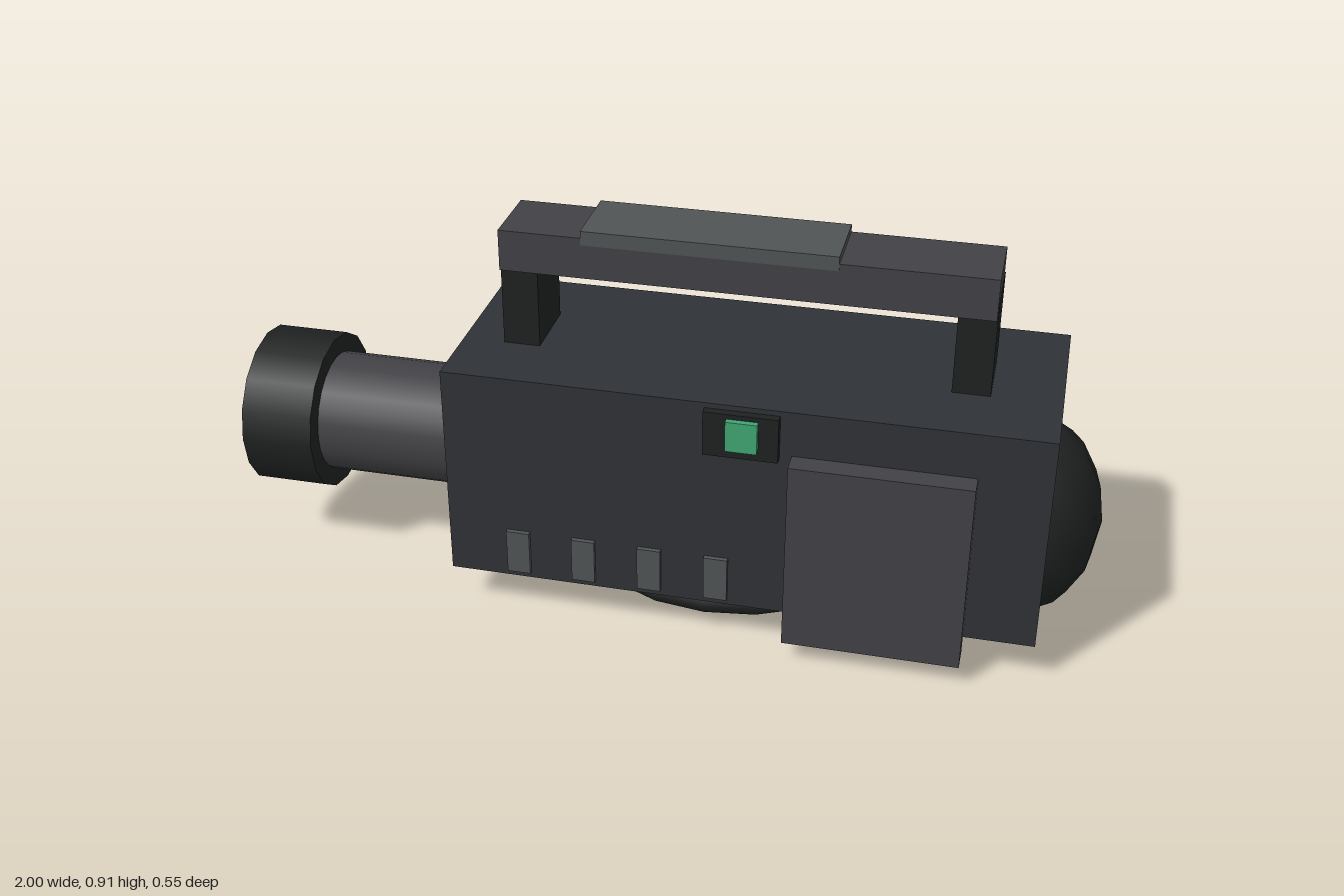
import * as THREE from 'three';

const mat = (color) => new THREE.MeshStandardMaterial({ color });
const shell = mat(0x2f3237);
const black = mat(0x1f2221);
const grey = mat(0x424246);
const light = mat(0x505454);
const green = mat(0x40a573);
const blue = mat(0x3a5590);

export function createModel() {
  const model = new THREE.Group();

  const add = (name, geometry, material, x, y, z) => {
    const mesh = new THREE.Mesh(geometry, material);
    mesh.name = name;
    mesh.position.set(x, y, z);
    model.add(mesh);
    return mesh;
  };

  // Box given by its limits on each axis
  const box = (name, material, [x0, x1], [y0, y1], [z0, z1]) =>
    add(name, new THREE.BoxGeometry(x1 - x0, y1 - y0, z1 - z0), material,
      (x0 + x1) / 2, (y0 + y1) / 2, (z0 + z1) / 2);

  // Cylinder lying along x
  const tube = (name, material, r, x0, x1, sides) =>
    add(name, new THREE.CylinderGeometry(r, r, x1 - x0, sides).rotateZ(Math.PI / 2), material,
      (x0 + x1) / 2, 0.335, -0.028);

  const ellipsoid = (name, rx, ry, rz, x, y, z) =>
    add(name, new THREE.SphereGeometry(1, 16, 8).scale(rx, ry, rz), black, x, y, z);

  // Main housing
  box('body', shell, [-0.465, 0.88], [0.1, 0.618], [-0.275, 0.225]);

  // Lens assembly
  tube('lensBarrel', grey, 0.143, -0.84, -0.45, 24);
  tube('lensHood', black, 0.189, -0.997, -0.825, 16);
  tube('lensGlass', blue, 0.125, -1, -0.98, 16);

  // Rounded eyecup at the rear end and shoulder pad below
  ellipsoid('eyecup', 0.175, 0.233, 0.211, 0.82, 0.288, -0.025);
  ellipsoid('shoulderPad', 0.335, 0.073, 0.238, 0.13, 0.075, -0.025);

  // Carrying handle
  for (const x of [-0.369, 0.641]) {
    box('handlePost', black, [x, x + 0.084], [0.6, 0.838], [-0.107, 0.057]);
  }
  box('handleBar', grey, [-0.371, 0.723], [0.8, 0.896], [-0.111, 0.061]);
  box('handleGrip', light, [-0.183, 0.385], [0.88, 0.913], [-0.112, 0.062]);

  // Side cover
  box('sidePanel', grey, [0.325, 0.722], [0.052, 0.511], [0.216, 0.276]);

  // Status display
  box('displayFrame', black, [0.132, 0.298], [0.5, 0.606], [0.21, 0.244]);
  box('displayLight', green, [0.184, 0.254], [0.523, 0.595], [0.23, 0.258]);

  // Row of buttons
  for (let i = 0; i < 4; i++) {
    const x = -0.299 + i * 0.154;
    box('button', light, [x - 0.027, x + 0.027], [0.117, 0.225], [0.21, 0.236]);
  }

  return model;
}
